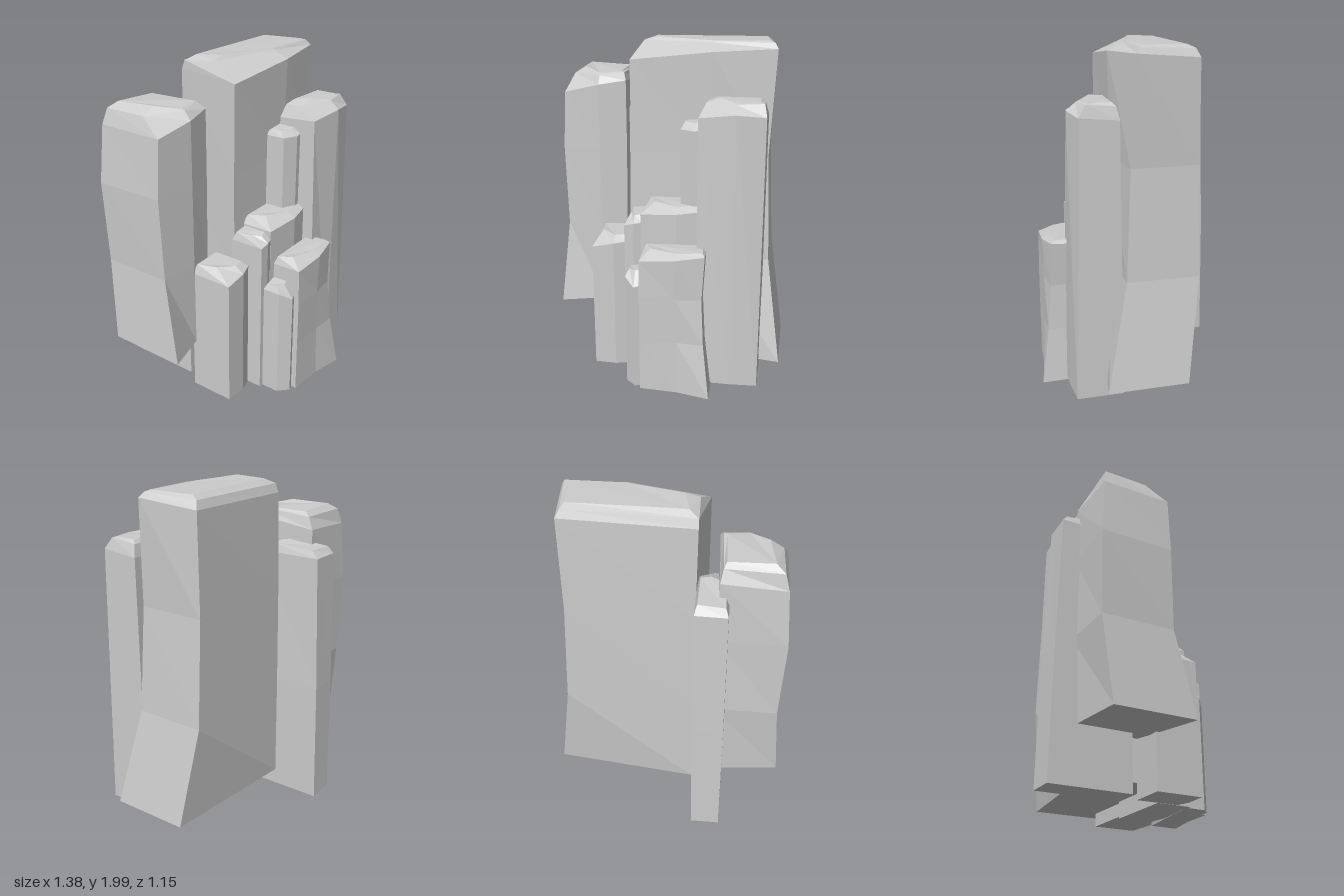
import * as THREE from 'three';

// A ring is [heights, corners]; heights is one number or one per corner.
// Corner order: back-left, back-right, front-right, front-middle, front-left as [x, z].
function pillar(name, rings) {
  const pos = [];
  const pts = rings.map(([h, c]) => c.map(([x, z], i) => [x, Array.isArray(h) ? h[i] : h, z]));
  const tri = (a, b, c) => pos.push(...a, ...b, ...c);
  const n = pts[0].length;
  for (let r = 0; r < pts.length - 1; r++) {
    for (let i = 0; i < n; i++) {
      const j = (i + 1) % n, lo = pts[r], hi = pts[r + 1];
      tri(lo[i], hi[i], hi[j]);
      tri(lo[i], hi[j], lo[j]);
    }
  }
  const top = pts[pts.length - 1];
  for (let i = 1; i < n - 1; i++) {
    tri(pts[0][0], pts[0][i], pts[0][i + 1]);
    tri(top[0], top[i + 1], top[i]);
  }
  const geo = new THREE.BufferGeometry();
  geo.setAttribute('position', new THREE.Float32BufferAttribute(pos, 3));
  geo.computeVertexNormals();
  const mesh = new THREE.Mesh(geo, new THREE.MeshStandardMaterial({ color: 0xcccccc, flatShading: true }));
  mesh.name = name;
  return mesh;
}

// Upright column: straight sides with a chipped top.
function column(name, base, foot, shoulderY, topY, crown) {
  return pillar(name, [[base, foot], [shoulderY, foot], [topY, crown]]);
}

export function createModel() {
  const g = new THREE.Group();
  g.name = 'rockPillars';

  // Tall central slab, waisted and flaring to the right at its foot
  g.add(pillar('mainPillar', [
    [0.11, [[-0.17, -0.3], [0.69, -0.2], [0.69, 0.265], [0.25, 0.2], [-0.22, 0.145]]],
    [0.72, [[-0.17, -0.295], [0.6, -0.275], [0.6, 0.14], [0.25, 0.15], [-0.22, 0.14]]],
    [1.35, [[-0.17, -0.285], [0.57, -0.27], [0.575, 0.115], [0.25, 0.15], [-0.22, 0.14]]],
    [[1.9, 1.92, 1.95, 1.935, 1.88], [[-0.175, -0.265], [0.575, -0.26], [0.605, 0.095], [0.25, 0.165], [-0.22, 0.145]]],
    [[1.95, 1.965, 1.98, 1.975, 1.97], [[-0.175, -0.245], [0.55, -0.24], [0.585, 0.07], [0.25, 0.07], [-0.17, -0.04]]],
    [[1.98, 1.985, 1.99, 1.985, 1.99], [[-0.12, -0.2], [0.53, -0.2], [0.56, 0.05], [0.25, 0.06], [-0.09, -0.04]]],
  ]));

  // Left pillar with a spreading foot
  g.add(pillar('leftPillar', [
    [0.33, [[-0.695, -0.39], [-0.3, -0.43], [-0.285, -0.03], [-0.44, 0.02], [-0.695, 0.095]]],
    [0.83, [[-0.66, -0.44], [-0.3, -0.44], [-0.285, -0.01], [-0.44, 0.02], [-0.66, -0.01]]],
    [1.32, [[-0.68, -0.45], [-0.3, -0.43], [-0.28, -0.01], [-0.44, 0.02], [-0.675, -0.02]]],
    [[1.66, 1.68, 1.735, 1.71, 1.655], [[-0.655, -0.43], [-0.3, -0.425], [-0.28, -0.01], [-0.44, 0.02], [-0.655, -0.02]]],
    [[1.75, 1.75, 1.775, 1.76, 1.75], [[-0.63, -0.41], [-0.315, -0.39], [-0.3, -0.06], [-0.44, -0.02], [-0.625, -0.15]]],
    [[1.785, 1.775, 1.78, 1.77, 1.79], [[-0.58, -0.37], [-0.33, -0.36], [-0.32, -0.08], [-0.44, -0.04], [-0.55, -0.14]]],
  ]));

  // Slim back pillar leaning inward
  g.add(pillar('backPillar', [
    [0, [[-0.36, -0.58], [-0.19, -0.58], [-0.185, -0.1], [-0.27, -0.1], [-0.36, -0.1]]],
    [0.75, [[-0.36, -0.565], [-0.18, -0.565], [-0.17, -0.15], [-0.26, -0.11], [-0.36, -0.1]]],
    [1.55, [[-0.355, -0.54], [-0.175, -0.535], [-0.175, -0.16], [-0.26, -0.12], [-0.355, -0.12]]],
    [[1.59, 1.59, 1.6, 1.61, 1.61], [[-0.34, -0.51], [-0.19, -0.49], [-0.19, -0.25], [-0.25, -0.25], [-0.33, -0.3]]],
  ]));

  // Right front pillar
  g.add(pillar('rightPillar', [
    [0.03, [[0.205, 0.15], [0.57, 0.15], [0.57, 0.42], [0.41, 0.43], [0.205, 0.43]]],
    [[1.6, 1.61, 1.63, 1.645, 1.615], [[0.205, 0.155], [0.57, 0.17], [0.57, 0.39], [0.41, 0.425], [0.205, 0.39]]],
    [[1.675, 1.68, 1.695, 1.69, 1.68], [[0.235, 0.175], [0.55, 0.185], [0.555, 0.345], [0.41, 0.37], [0.235, 0.29]]],
    [[1.7, 1.7, 1.7, 1.695, 1.71], [[0.29, 0.2], [0.53, 0.205], [0.53, 0.325], [0.41, 0.36], [0.31, 0.28]]],
  ]));

  // Short front block with a flared right foot
  g.add(pillar('frontBlock', [
    [0.01, [[-0.105, 0.34], [0.3, 0.4], [0.305, 0.575], [0.11, 0.535], [-0.105, 0.525]]],
    [0.33, [[-0.105, 0.34], [0.26, 0.35], [0.265, 0.53], [0.11, 0.525], [-0.105, 0.525]]],
    [0.6, [[-0.105, 0.34], [0.245, 0.345], [0.25, 0.505], [0.1, 0.525], [-0.105, 0.525]]],
    [[0.82, 0.85, 0.86, 0.84, 0.82], [[-0.105, 0.345], [0.26, 0.35], [0.265, 0.5], [0.1, 0.53], [-0.105, 0.52]]],
    [[0.865, 0.875, 0.875, 0.865, 0.87], [[-0.09, 0.36], [0.24, 0.36], [0.25, 0.475], [0.11, 0.485], [-0.05, 0.44]]],
  ]));

  // Centre step
  g.add(column('centreStep', 0.01,
    [[-0.13, 0.13], [0.22, 0.13], [0.22, 0.335], [0.08, 0.36], [-0.13, 0.335]],
    [1.03, 1.05, 1.065, 1.05, 1.03], [1.08, 1.09, 1.09, 1.08, 1.085],
    [[-0.1, 0.15], [0.2, 0.15], [0.2, 0.29], [0.08, 0.305], [-0.06, 0.25]]));

  // Narrow step beside it
  g.add(column('narrowStep', 0.01,
    [[-0.225, 0.13], [-0.12, 0.13], [-0.12, 0.33], [-0.17, 0.345], [-0.225, 0.34]],
    [0.96, 0.97, 0.98, 0.975, 0.96], [1.01, 1.02, 1.02, 1.01, 1.015],
    [[-0.21, 0.15], [-0.13, 0.15], [-0.13, 0.29], [-0.17, 0.3], [-0.2, 0.25]]));

  // Low left step
  g.add(column('leftStep', 0.01,
    [[-0.44, 0], [-0.225, 0], [-0.23, 0.25], [-0.31, 0.275], [-0.44, 0.27]],
    [0.79, 0.81, 0.825, 0.815, 0.785], [0.845, 0.855, 0.855, 0.85, 0.855],
    [[-0.42, 0.025], [-0.25, 0.025], [-0.25, 0.21], [-0.31, 0.22], [-0.395, 0.15]]));

  // Small slivers wedged between the larger pillars
  g.add(column('frontSliver', 0.01,
    [[-0.2, 0.34], [-0.1, 0.34], [-0.1, 0.49], [-0.14, 0.505], [-0.2, 0.45]],
    [0.69, 0.7, 0.66, 0.65, 0.69], [0.72, 0.735, 0.735, 0.73, 0.73],
    [[-0.185, 0.355], [-0.11, 0.35], [-0.11, 0.44], [-0.14, 0.445], [-0.18, 0.42]]));
  g.add(column('upperSliver', 1,
    [[0.085, 0.14], [0.22, 0.14], [0.22, 0.295], [0.17, 0.3], [0.09, 0.26]],
    [1.52, 1.53, 1.53, 1.52, 1.52], [1.55, 1.56, 1.56, 1.555, 1.56],
    [[0.1, 0.155], [0.2, 0.155], [0.2, 0.245], [0.17, 0.25], [0.11, 0.22]]));

  return g;
}
